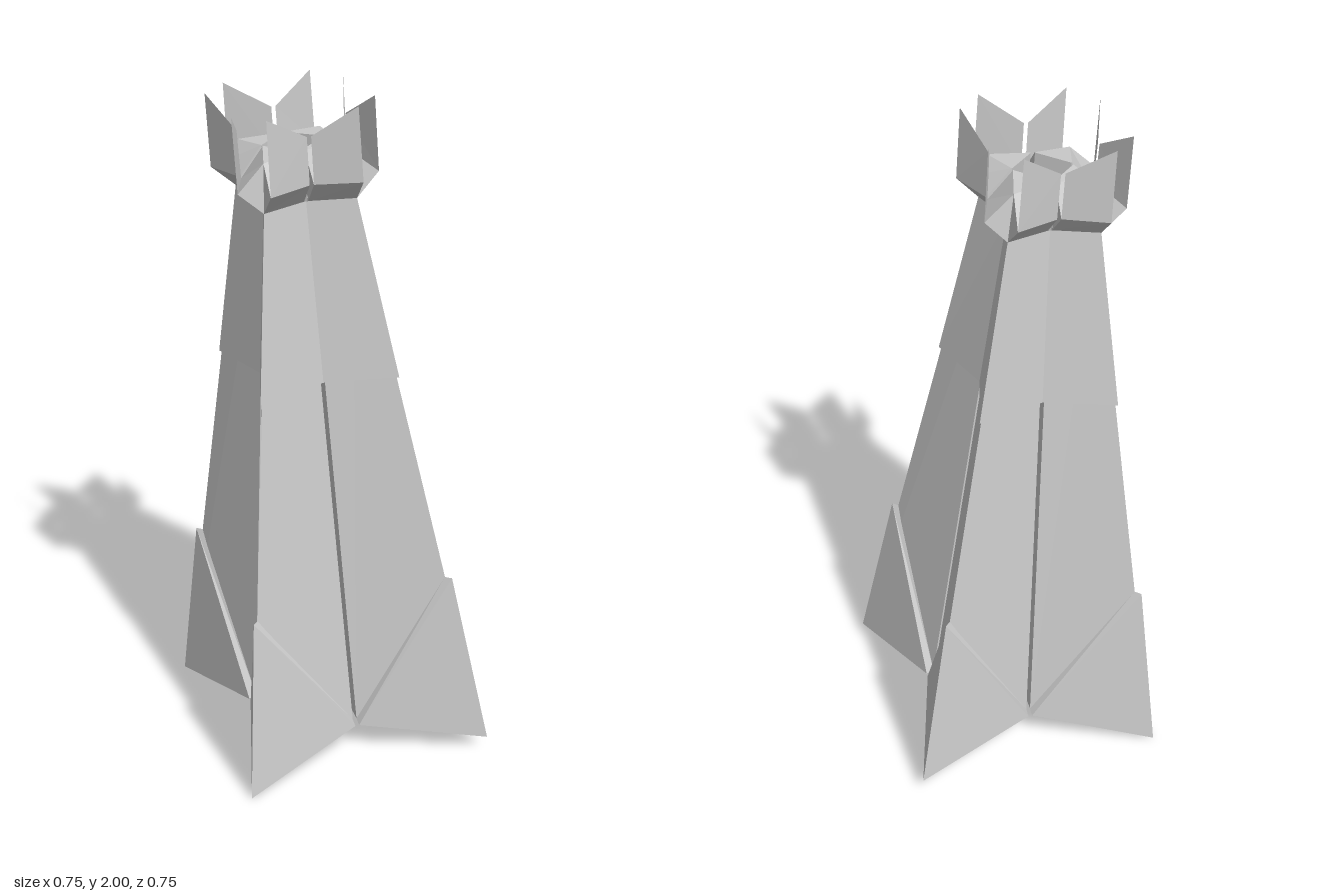
import * as THREE from 'three';

const material = new THREE.MeshStandardMaterial({
  color: 0xcccccc, flatShading: true, side: THREE.DoubleSide,
});
const GAP = 0.006; // half the slit between neighbouring quarters

// Flat-faced geometry from convex polygons, each cut into a fan
function facets(polygons) {
  const pos = [];
  for (const p of polygons) {
    for (let i = 1; i < p.length - 1; i++) pos.push(...p[0], ...p[i], ...p[i + 1]);
  }
  const geo = new THREE.BufferGeometry();
  geo.setAttribute('position', new THREE.Float32BufferAttribute(pos, 3));
  geo.computeVertexNormals();
  return geo;
}

// Adds the copy mirrored over the quarter's diagonal (x and z swapped)
function mirrored(polygons) {
  const copy = polygons.map((p) => p.map(([x, y, z]) => [z, y, x]).reverse());
  return facets([...polygons, ...copy]);
}

// Five-sided section of a quarter: outer fold, corner, outer fold, inner face
function section([c, cy], [m, my], [n, ny]) {
  return [[GAP, my, m], [c, cy, c], [m, my, GAP], [n, ny, GAP], [GAP, ny, n]];
}

function quarterCore() {
  const levels = [
    section([0.366, 0.005], [0.238, 0.085], [0.11, 0.105]),
    section([0.125, 1.69], [0.09, 1.69], [0.086, 1.69]),
    section([0.12, 1.83], [0.086, 1.84], [0.084, 1.84]),
  ];
  const faces = [];
  for (let k = 0; k < 2; k++) {
    const lo = levels[k], hi = levels[k + 1];
    for (let i = 0; i < 5; i++) {
      const j = (i + 1) % 5;
      faces.push([lo[i], lo[j], hi[j], hi[i]]);
    }
  }
  const [a, c, b, bi, ai] = levels[0];
  faces.push([c, a, ai, bi, b]);
  const [ta, tc, tb, tbi, tai] = levels[2];
  faces.push([tc, tb, tbi, tai, ta]);
  return facets(faces);
}

// Triangular flap wrapped round the foot, with its folded edges
function footFlap() {
  const tip = [0.375, 0, 0.375], peak = [0.305, 0.5425, 0.305], mid = [GAP, 0.075, 0.26];
  const inTip = [0.366, 0.005, 0.366], inPeak = [0.289, 0.5425, 0.289], inMid = [GAP, 0.085, 0.238];
  return mirrored([
    [mid, tip, peak],
    [mid, peak, inPeak, inMid],
    [mid, inMid, inTip, tip],
  ]);
}

// Upper sleeve with a narrow lip under its hem
function sleeve() {
  const hem = [0.205, 1.1725, 0.205], hemMid = [0, 1.1725, 0.143];
  return mirrored([
    [hemMid, hem, [0.1325, 1.695, 0.1325], [0, 1.695, 0.092]],
    [hem, hemMid, [0, 1.175, 0.138], [0.198, 1.175, 0.198]],
  ]);
}

// Flared wedge below each petal
function crownFlare() {
  const low = [0.1325, 1.695, 0.1325], lowMid = [GAP, 1.695, 0.092];
  const out = [0.13, 1.76, 0.2], outMid = [GAP, 1.76, 0.153];
  const ridge = [0.12, 1.83, 0.12], ridgeMid = [GAP, 1.84, 0.086];
  return mirrored([
    [lowMid, low, out, outMid],
    [outMid, out, ridge, ridgeMid],
    [low, ridge, out],
    [lowMid, outMid, ridgeMid],
  ]);
}

// Thin upright petal, tallest at the corner
function crownPetal() {
  return mirrored([
    [[GAP, 1.76, 0.153], [0.13, 1.76, 0.2], [0.127, 1.97, 0.2], [GAP, 1.895, 0.155]],
  ]);
}

export function createModel() {
  const model = new THREE.Group();
  model.name = 'foldedTower';
  const tower = new THREE.Group();
  tower.name = 'leaningTower';

  const parts = {
    quarterCore: quarterCore(),
    footFlap: footFlap(),
    sleeve: sleeve(),
    crownFlare: crownFlare(),
    crownPetals: crownPetal(),
  };
  // Four identical quarters round the axis
  for (let k = 0; k < 4; k++) {
    const quarter = new THREE.Group();
    quarter.name = `quarter${k + 1}`;
    for (const [name, geo] of Object.entries(parts)) {
      const mesh = new THREE.Mesh(geo, material);
      mesh.name = name;
      quarter.add(mesh);
    }
    quarter.rotation.y = (k * Math.PI) / 2;
    tower.add(quarter);
  }

  // Slight lean to the side
  tower.rotation.z = 0.06;
  tower.position.y = 0.0225;
  model.add(tower);
  return model;
}
